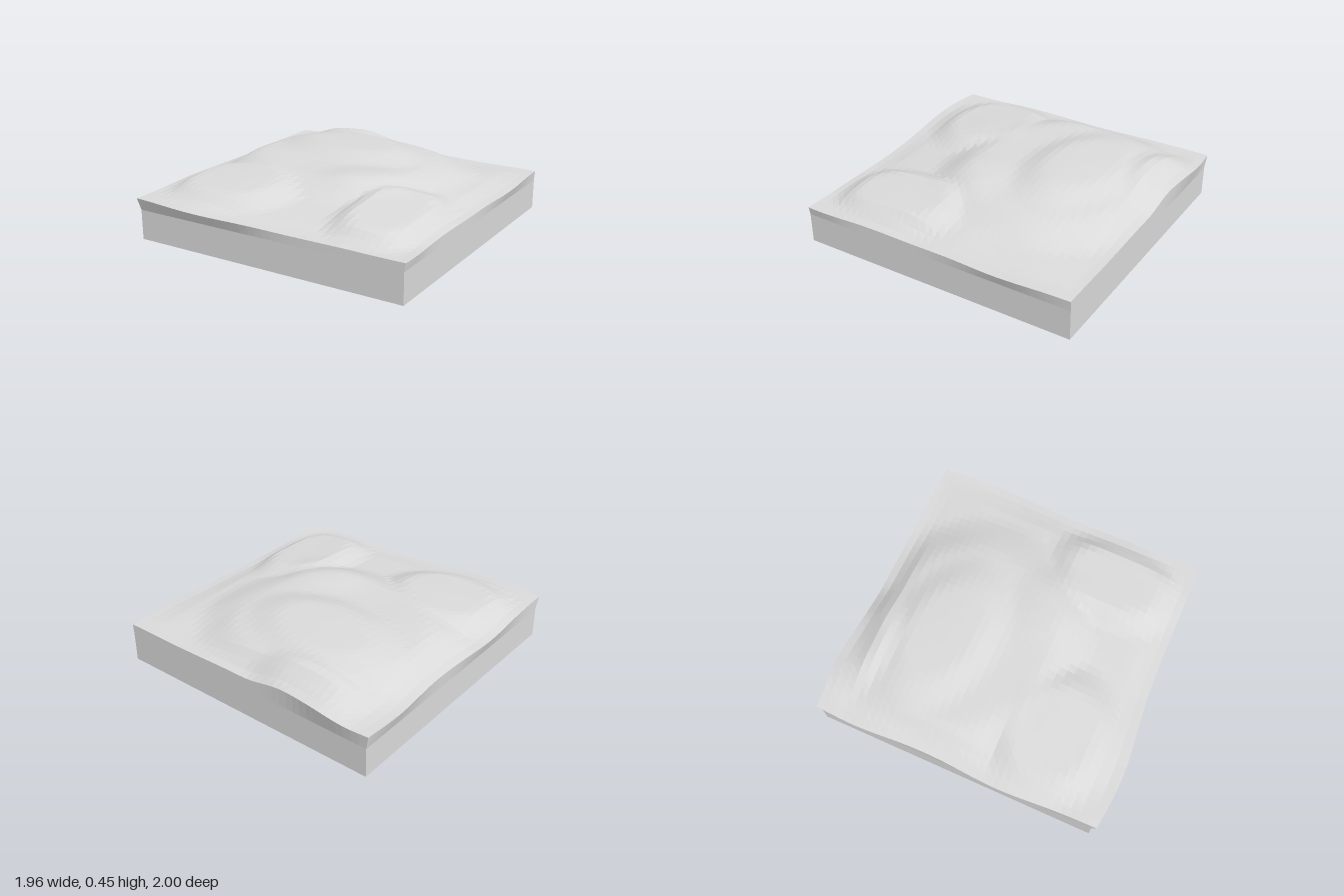
import * as THREE from 'three';

const CELLS = 36;
const X0 = -0.95, X1 = 0.96, Z0 = -0.97, Z1 = 0.94;
const BASE_TOP = 0.2;

const smooth = THREE.MathUtils.smoothstep;
const bump = (t, centre, width) => Math.exp(-(((t - centre) / width) ** 2));

// Rounded terrace: full height inside, easing to nothing across its rim
function terrace(x, z, { at, size, turn = 0, rim, rise, power = 2 }) {
  const dx = x - at[0], dz = z - at[1];
  const c = Math.cos(turn), s = Math.sin(turn);
  const u = Math.abs((dx * c + dz * s) / size[0]);
  const v = Math.abs((dz * c - dx * s) / size[1]);
  const r = (u ** power + v ** power) ** (1 / power);
  return rise * (1 - smooth(r, 1 - rim, 1 + rim));
}

// Neighbouring hills that merge where they meet
const HILLS = [
  { at: [-0.15, -0.28], size: [0.73, 0.65], turn: 0.15, rim: 0.23, rise: 0.074, power: 2.5 }, // main plateau
  { at: [-0.52, 0.5], size: [0.41, 0.34], turn: 0.1, rim: 0.3, rise: 0.068 },                 // front hill, -x side
  { at: [0.62, 0.45], size: [0.27, 0.4], rim: 0.3, rise: 0.072, power: 2.5 },                 // front hill, +x side
];

// Gentle layers added over everything
const LAYERS = [
  { at: [-0.08, -0.03], size: [0.78, 0.78], rim: 0.6, rise: 0.072 },           // broad swell
  { at: [-0.2, -0.42], size: [0.47, 0.3], turn: 0.12, rim: 0.35, rise: 0.046 }, // summit
  { at: [0.26, 0.16], size: [0.22, 0.2], rim: 0.6, rise: 0.018 },              // shoulder
  { at: [0.75, -0.4], size: [0.2, 0.45], rim: 0.6, rise: 0.018 },              // low bench
];
const BACK_KNOLL = { at: [-0.45, -0.88], size: [0.32, 0.16], rim: 0.45, rise: 0.05 };

function heightAt(x, z) {
  const edge = Math.min(x - X0, X1 - x, z - Z0, Z1 - z);
  let merged = 0, rise = 0;
  for (const hill of HILLS) merged += terrace(x, z, hill) ** 4;
  for (const layer of LAYERS) rise += terrace(x, z, layer);
  rise = (rise + merged ** 0.25) * (0.25 + 0.75 * smooth(edge, 0, 0.18));
  const rim = 0.255 + 0.025 * bump(x, -0.95, 0.4) + 0.012 * bump(z, -0.97, 0.4)
    + 0.018 * bump(x, -0.6, 0.35) * bump(z, 0.94, 0.2);
  const ripple = 0.003 * Math.sin(7 * x + 3 * z) * Math.sin(8 * z - 2 * x);
  return rim + rise + terrace(x, z, BACK_KNOLL) + ripple;
}

// Wavy outer border bulging past the straight base
function flare(x, z) {
  const near = (d) => 1 - smooth(d, 0, 0.16);
  const dx = near(X1 - x) * 0.02 * (bump(z, -0.55, 0.35) + 0.6 * bump(z, 0.85, 0.2))
    - near(x - X0) * 0.03 * (bump(z, -0.72, 0.35) + bump(z, 0.3, 0.35));
  const dz = near(Z1 - z) * 0.06 * bump(x, -0.6, 0.45)
    - near(z - Z0) * 0.03 * bump(x, -0.65, 0.25);
  return [dx, dz];
}

function terrainGeometry() {
  const geo = new THREE.PlaneGeometry(X1 - X0, Z1 - Z0, CELLS, CELLS);
  geo.rotateX(-Math.PI / 2).translate((X0 + X1) / 2, 0, (Z0 + Z1) / 2);
  const p = geo.attributes.position;
  for (let i = 0; i < p.count; i++) {
    const x = p.getX(i), z = p.getZ(i);
    const [dx, dz] = flare(x, z);
    p.setXYZ(i, x + dx, heightAt(x, z), z + dz);
  }
  geo.computeVertexNormals();
  return geo;
}

// Band joining the terrain border to the straight base
function skirtGeometry() {
  const points = [], index = [];
  const corners = [[X0, Z1], [X1, Z1], [X1, Z0], [X0, Z0]];
  corners.forEach(([ax, az], side) => {
    const [bx, bz] = corners[(side + 1) % 4];
    for (let i = 0; i <= CELLS; i++) {
      const x = ax + (bx - ax) * i / CELLS, z = az + (bz - az) * i / CELLS;
      const [dx, dz] = flare(x, z);
      const n = points.length / 3;
      points.push(x, BASE_TOP, z, x + dx, heightAt(x, z), z + dz);
      if (i < CELLS) index.push(n, n + 2, n + 3, n, n + 3, n + 1);
    }
  });
  const geo = new THREE.BufferGeometry();
  geo.setAttribute('position', new THREE.Float32BufferAttribute(points, 3));
  geo.setIndex(index);
  geo.computeVertexNormals();
  return geo;
}

export function createModel() {
  const model = new THREE.Group();
  model.name = 'terrainSlab';
  const stone = new THREE.MeshStandardMaterial({ color: 0xd9d9d9, flatShading: true });
  stone.name = 'light grey';

  const add = (name, geo) => {
    const mesh = new THREE.Mesh(geo, stone);
    mesh.name = name;
    model.add(mesh);
  };

  // Straight-sided block underneath
  const base = new THREE.BoxGeometry(X1 - X0, BASE_TOP, Z1 - Z0);
  base.translate((X0 + X1) / 2, BASE_TOP / 2, (Z0 + Z1) / 2);
  add('base', base);
  add('terrainSurface', terrainGeometry());
  add('borderSkirt', skirtGeometry());
  return model;
}
